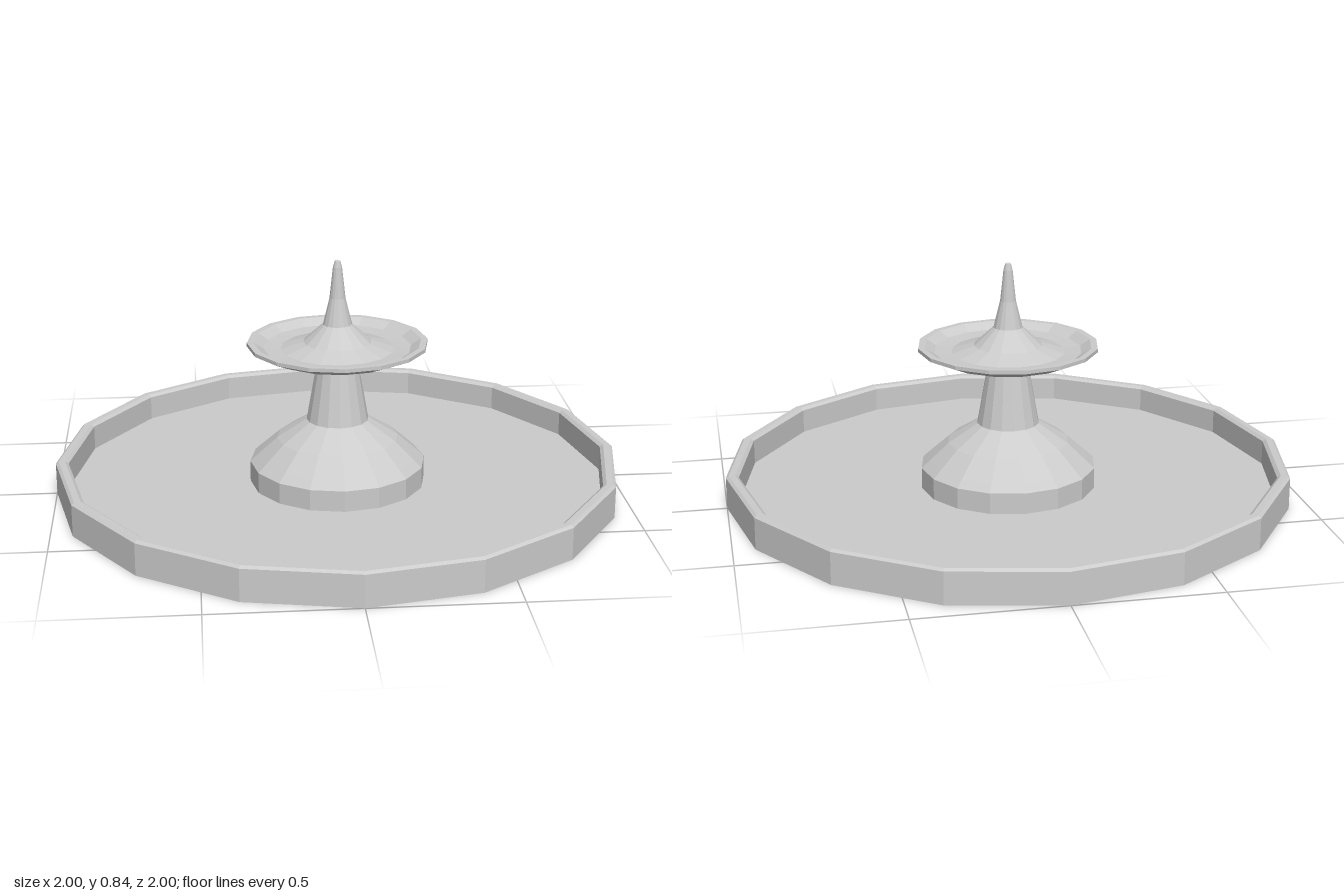
import * as THREE from 'three';

const SIDES = 16;
const material = new THREE.MeshStandardMaterial({ color: 0xcccccc, flatShading: true });

// Turned part from a [radius, height] profile, running from the bottom up the outside
function turned(name, profile) {
  const points = profile.map(([r, y]) => new THREE.Vector2(r, y));
  const mesh = new THREE.Mesh(new THREE.LatheGeometry(points, SIDES), material);
  mesh.name = name;
  return mesh;
}

export function createModel() {
  const fountain = new THREE.Group();
  fountain.name = 'fountain';

  // Wide shallow pool with a bevelled rim and a flat floor
  fountain.add(turned('basin', [
    [0, 0], [1, 0], [1, 0.113], [0.99, 0.121], [0.967, 0.121],
    [0.955, 0.112], [0.955, 0.025], [0, 0.025],
  ]));

  // Plinth with a domed shoulder
  fountain.add(turned('pedestal', [
    [0.312, 0.025], [0.312, 0.1], [0.285, 0.125], [0.215, 0.188], [0.11, 0.255],
  ]));

  // Tapered stem
  fountain.add(turned('column', [[0.11, 0.255], [0.067, 0.498]]));

  // Upper dish with a shallow trough
  fountain.add(turned('upperBowl', [
    [0.067, 0.498], [0.245, 0.498], [0.318, 0.53], [0.318, 0.543],
    [0.295, 0.543], [0.26, 0.521], [0.2, 0.517], [0.12, 0.542],
  ]));

  // Flared spire with a rounded tip
  fountain.add(turned('spire', [
    [0.12, 0.542], [0.051, 0.605], [0.028, 0.7], [0.016, 0.81], [0.01, 0.832], [0, 0.836],
  ]));

  return fountain;
}
